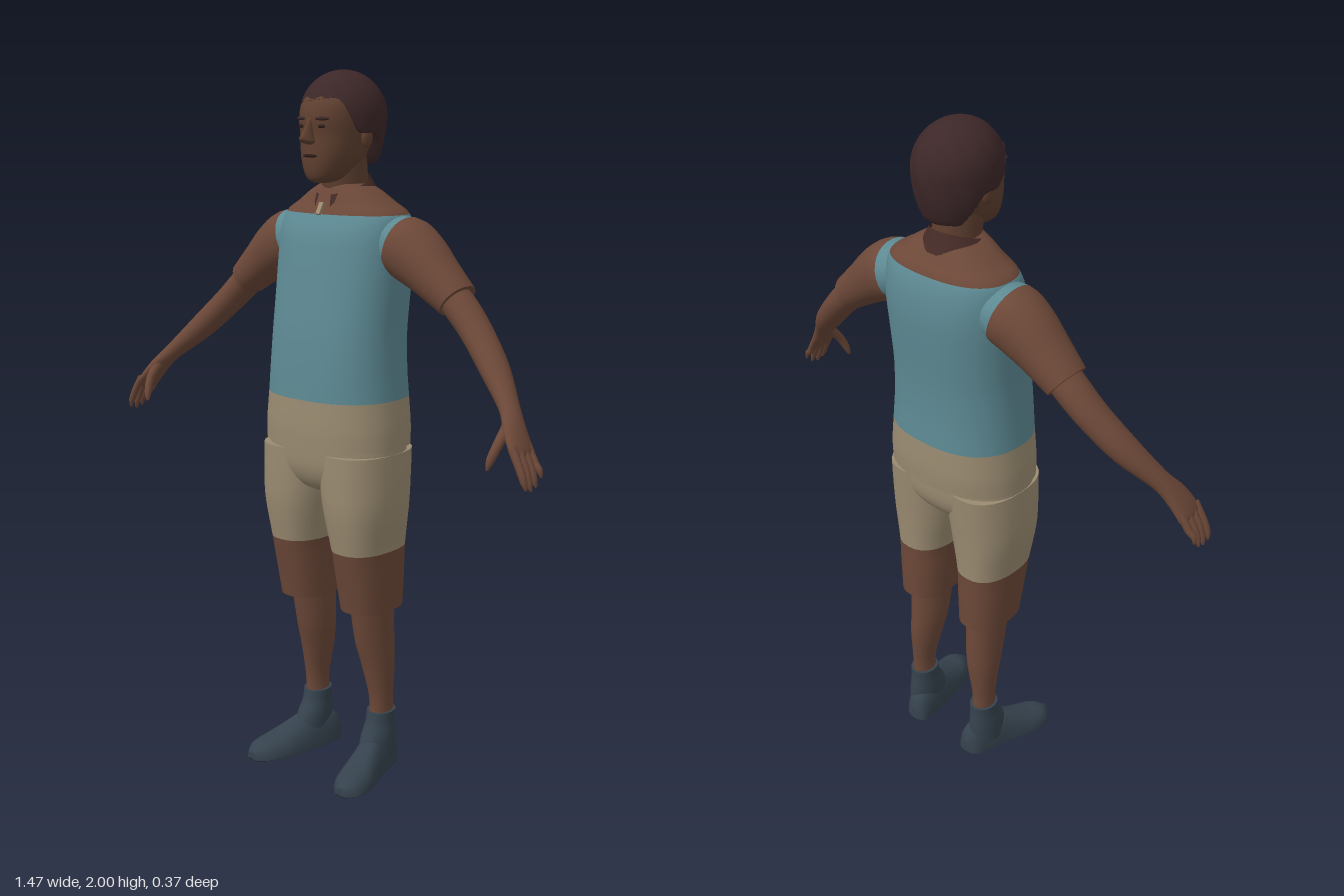
import * as THREE from 'three';

const mat = (name, color, side = THREE.FrontSide) => {
  const m = new THREE.MeshStandardMaterial({ color, side });
  m.name = name;
  return m;
};

// Smooth tube through rows [x, y, z, halfWidth, halfDepth]; one material index per interval.
function loft(rows, { segs = 28, n = 2, dir = null, ref = [0, 0, 1], parts = null, floor = -1, steps = 4 } = {}) {
  const P = new THREE.CatmullRomCurve3(rows.map(r => new THREE.Vector3(r[0], r[1], r[2])), false, 'catmullrom');
  const R = new THREE.CatmullRomCurve3(rows.map(r => new THREE.Vector3(r[3], r[4], 0)), false, 'catmullrom');
  const count = (rows.length - 1) * steps;
  const pos = [], idx = [], refV = new THREE.Vector3(...ref);
  const pow = v => Math.sign(v) * Math.pow(Math.abs(v), 2 / n);
  const ring = k => {
    const t = k / count, p = P.getPoint(t), r = R.getPoint(t);
    const tan = dir ? new THREE.Vector3(...dir) : P.getTangent(t);
    const u = new THREE.Vector3().crossVectors(tan, refV).normalize();
    const v = new THREE.Vector3().crossVectors(u, tan);
    for (let j = 0; j < segs; j++) {
      const a = (j / segs) * Math.PI * 2;
      const q = p.clone().addScaledVector(u, r.x * pow(Math.cos(a))).addScaledVector(v, r.y * pow(Math.sin(a)));
      pos.push(q.x, Math.max(q.y, floor), q.z);
    }
    return p;
  };
  for (let k = 0; k <= count; k++) ring(k);
  for (let k = 0; k < count; k++) {
    for (let j = 0; j < segs; j++) {
      const a = k * segs + j, c = k * segs + (j + 1) % segs;
      idx.push(a, a + segs, c, c, a + segs, c + segs);
    }
  }
  // end caps with their own vertices for a crisp rim
  for (const [k, end] of [[0, false], [count, true]]) {
    const base = pos.length / 3, p = ring(k);
    pos.push(p.x, Math.max(p.y, floor), p.z);
    for (let j = 0; j < segs; j++) {
      const a = base + j, b = base + (j + 1) % segs;
      idx.push(base + segs, end ? b : a, end ? a : b);
    }
  }
  const g = new THREE.BufferGeometry();
  g.setAttribute('position', new THREE.Float32BufferAttribute(pos, 3));
  g.setIndex(idx);
  g.computeVertexNormals();
  if (parts) {
    const per = steps * segs * 6;
    parts.forEach((m, i) => g.addGroup(i * per, per, m));
    g.addGroup(parts.length * per, segs * 3, parts[0]);
    g.addGroup(parts.length * per + segs * 3, segs * 3, parts[parts.length - 1]);
  }
  return g;
}

export function createModel() {
  const model = new THREE.Group();
  model.name = 'standingMan';
  const skin = mat('brown', 0x6c4838), face = mat('faceBrown', 0x5e3f2f), teal = mat('teal', 0x5d8993);
  const khaki = mat('khaki', 0x9a8b71), hair = mat('hairBrown', 0x3d2728), shoe = mat('slate', 0x35424d);
  const collarMat = mat('collarBrown', 0x452b27, THREE.DoubleSide);
  const sole = mat('soleDark', 0x252d34), dark = mat('featureDark', 0x2e1c17);
  const add = (name, geo, m, parent = model) => {
    const mesh = new THREE.Mesh(geo, m);
    mesh.name = name;
    parent.add(mesh);
    return mesh;
  };
  const UP = [0, 1, 0];
  // rows given as [y, halfWidth, frontZ, backZ]
  const body = rows => rows.map(([y, a, f, b]) => [0, y, (f + b) / 2, a, (f - b) / 2]);

  // Shirt: khaki hem band, teal body, brown yoke
  add('shirt', loft(body([
    [0.985, 0.214, 0.155, -0.168], [1.04, 0.212, 0.157, -0.172], [1.12, 0.204, 0.154, -0.17],
    [1.2, 0.198, 0.15, -0.166], [1.3, 0.194, 0.141, -0.167], [1.4, 0.196, 0.125, -0.175],
    [1.5, 0.2, 0.108, -0.182], [1.57, 0.2, 0.093, -0.177], [1.62, 0.188, 0.07, -0.162],
    [1.65, 0.145, 0.053, -0.142], [1.68, 0.1, 0.04, -0.12], [1.7, 0.06, 0.03, -0.1],
  ]), { segs: 48, n: 2.4, dir: UP, parts: [0, 0, 1, 1, 1, 1, 1, 1, 2, 2, 2] }), [khaki, teal, skin]);

  // Seat of the shorts
  add('shortsSeat', loft(body([
    [0.845, 0.06, 0.07, -0.07], [0.87, 0.14, 0.11, -0.115], [0.92, 0.205, 0.135, -0.145], [1.0, 0.208, 0.142, -0.15],
  ]), { segs: 40, n: 2.4, dir: UP }), khaki);

  for (const s of [1, -1]) {
    const side = new THREE.Group();
    side.name = s > 0 ? 'leftLimbs' : 'rightLimbs';
    model.add(side);
    const m = rows => rows.map(([x, ...r]) => [s * x, ...r]);

    // Short leg with brown lower band
    add('shortsLeg', loft(m([
      [0.115, 0.505, -0.022, 0.071, 0.1], [0.115, 0.6, -0.014, 0.077, 0.11], [0.115, 0.687, -0.006, 0.082, 0.119],
      [0.112, 0.8, 0, 0.1, 0.132], [0.108, 0.88, -0.001, 0.106, 0.138], [0.106, 0.97, -0.004, 0.105, 0.143],
    ]), { n: 2.4, dir: UP, parts: [0, 0, 1, 1, 1] }), [skin, khaki], side);

    add('lowerLeg', loft(m([
      [0.125, 0.14, -0.055, 0.031, 0.041], [0.125, 0.22, -0.055, 0.031, 0.041], [0.118, 0.32, -0.049, 0.043, 0.056],
      [0.113, 0.4, -0.038, 0.05, 0.067], [0.113, 0.5, -0.027, 0.053, 0.075], [0.114, 0.56, -0.02, 0.055, 0.078],
    ]), { dir: UP }), skin, side);

    // Shoe, toes turned slightly out, with ankle cuff and sole
    const shoeRows = [
      [0.112, 0, -0.124, 0.014, 0.045], [0.113, 0, -0.108, 0.037, 0.085], [0.12, 0, -0.06, 0.046, 0.11],
      [0.132, 0, 0, 0.05, 0.105], [0.146, 0, 0.05, 0.055, 0.083], [0.16, 0, 0.1, 0.058, 0.063],
      [0.17, 0, 0.15, 0.048, 0.05], [0.174, 0, 0.184, 0.018, 0.028],
    ];
    const along = { dir: [0, 0, 1], ref: [0, 1, 0], n: 2.3, floor: 0.004 };
    add('shoe', loft(m(shoeRows), along), shoe, side);
    add('shoeSole', loft(m(shoeRows.map(([x, y, z, a]) => [x, 0.004, z, a, 0.004])), { ...along, floor: 0 }), sole, side);
    add('shoeCuff', loft(m([
      [0.128, 0.04, -0.035, 0.043, 0.075], [0.126, 0.1, -0.043, 0.043, 0.065],
      [0.125, 0.14, -0.052, 0.039, 0.051], [0.125, 0.177, -0.056, 0.039, 0.046],
    ]), { dir: UP }), shoe, side);

    // Sleeve: teal root joins the shirt, brown beyond
    add('sleeve', loft(m([
      [0.11, 1.55, -0.05, 0.05, 0.07], [0.195, 1.538, -0.05, 0.082, 0.088], [0.25, 1.51, -0.048, 0.08, 0.084],
      [0.31, 1.465, -0.046, 0.066, 0.074], [0.382, 1.408, -0.045, 0.052, 0.064],
    ]), { n: 2.1, parts: [0, 1, 1, 1] }), [teal, skin], side);

    add('forearm', loft(m([
      [0.35, 1.433, -0.045, 0.042, 0.052], [0.4, 1.388, -0.042, 0.043, 0.051], [0.46, 1.33, -0.03, 0.04, 0.048],
      [0.54, 1.25, 0.002, 0.036, 0.043], [0.62, 1.17, 0.05, 0.024, 0.031], [0.658, 1.122, 0.078, 0.02, 0.04],
      [0.688, 1.078, 0.093, 0.015, 0.045], [0.696, 1.06, 0.096, 0.007, 0.038],
    ])), skin, side);

    // Fingers and thumb
    for (let i = 0; i < 4; i++) {
      const z = 0.062 + i * 0.022, d = i === 0 ? 0.02 : i === 2 ? -0.006 : 0;
      add('finger', loft(m([
        [0.684, 1.09, z, 0.011, 0.012], [0.711, 1.045, z + 0.004, 0.011, 0.011],
        [0.726, 1.012 + d, z + 0.006, 0.009, 0.009], [0.732, 0.992 + d, z + 0.004, 0.003, 0.003],
      ]), { segs: 10, steps: 2 }), skin, side);
    }
    add('thumb', loft(m([
      [0.645, 1.135, 0.09, 0.015, 0.016], [0.643, 1.095, 0.127, 0.013, 0.013],
      [0.634, 1.055, 0.147, 0.011, 0.011], [0.629, 1.03, 0.153, 0.004, 0.004],
    ]), { segs: 10, steps: 2 }), skin, side);

    // Ear, eye and brow
    const ear = add('ear', new THREE.SphereGeometry(1, 12, 10), face, side);
    ear.scale.set(0.012, 0.03, 0.02);
    ear.position.set(s * 0.09, 1.825, -0.02);
    const eye = add('eye', new THREE.SphereGeometry(1, 12, 8), dark, side);
    eye.scale.set(0.014, 0.005, 0.005);
    eye.position.set(s * 0.034, 1.853, 0.101);
    const brow = add('brow', new THREE.SphereGeometry(1, 12, 8), hair, side);
    brow.scale.set(0.022, 0.005, 0.007);
    brow.position.set(s * 0.036, 1.873, 0.1);
    brow.rotation.y = s * 0.3;
  }

  // Neck and head
  add('neck', loft([
    [0, 1.6, -0.045, 0.066, 0.07], [0, 1.68, -0.035, 0.062, 0.07], [0, 1.8, -0.02, 0.062, 0.075],
  ], { dir: UP }), face);
  add('head', loft(body([
    [1.704, 0.02, 0.085, 0.03], [1.715, 0.042, 0.1, -0.01], [1.74, 0.06, 0.108, -0.05], [1.78, 0.077, 0.11, -0.09],
    [1.83, 0.087, 0.107, -0.115], [1.875, 0.092, 0.109, -0.125], [1.92, 0.09, 0.094, -0.125], [1.96, 0.06, 0.055, -0.09],
  ]), { segs: 36, n: 2.15, dir: UP }), face);
  add('nose', loft([
    [0, 1.806, 0.108, 0.008, 0.008], [0, 1.813, 0.115, 0.019, 0.023], [0, 1.824, 0.116, 0.015, 0.03],
    [0, 1.845, 0.108, 0.01, 0.022], [0, 1.875, 0.1, 0.008, 0.012],
  ], { segs: 14, dir: UP }), face);
  const lips = add('lips', new THREE.SphereGeometry(1, 14, 8), dark);
  lips.scale.set(0.025, 0.005, 0.006);
  lips.position.set(0, 1.776, 0.108);

  // Hair: a dome whose lower rim follows the hairline
  const dome = new THREE.SphereGeometry(1, 56, 36);
  const dp = dome.attributes.position;
  const ss = THREE.MathUtils.smoothstep;
  for (let i = 0; i < dp.count; i++) {
    const x = dp.getX(i), y = dp.getY(i), z = dp.getZ(i), r = Math.hypot(x, z) || 1, d = z / r;
    const rim = 1.835 + 0.085 * ss(d, 0.35, 0.85) - 0.085 * ss(-d, 0.05, 0.7) + 0.012 * (x / r) * ss(d, 0.3, 0.8);
    const wave = 1 + 0.012 * Math.sin(Math.atan2(x, z) * 11 + y * 6) * r;
    dp.setXYZ(i, x * 0.111 * wave, Math.max(1.88 + y * (y > 0 ? 0.12 : 0.2), rim), -0.028 + z * 0.127 * wave);
  }
  dome.computeVertexNormals();
  add('hair', dome, hair);

  // Fold-down collar, open at the throat
  const strip = new THREE.PlaneGeometry(1, 1, 40, 3);
  const cp = strip.attributes.position;
  for (let i = 0; i < cp.count; i++) {
    const a = 0.3 + (cp.getX(i) + 0.5) * (Math.PI * 2 - 0.6), v = 0.5 - cp.getY(i), c = Math.cos(a);
    const drop = v * (0.056 + 0.012 * ss(c, 0.4, 0.9));
    cp.setXYZ(i, Math.sin(a) * (0.071 + 0.034 * v), 1.698 - 0.027 * c - drop, -0.028 + c * (0.08 + 0.022 * v));
  }
  strip.computeVertexNormals();
  add('collar', strip, collarMat);

  // Placket tab at the throat
  const tab = add('placket', new THREE.BoxGeometry(0.014, 0.035, 0.008), khaki);
  tab.position.set(0, 1.635, 0.068);
  tab.rotation.x = -0.5;
  return model;
}
